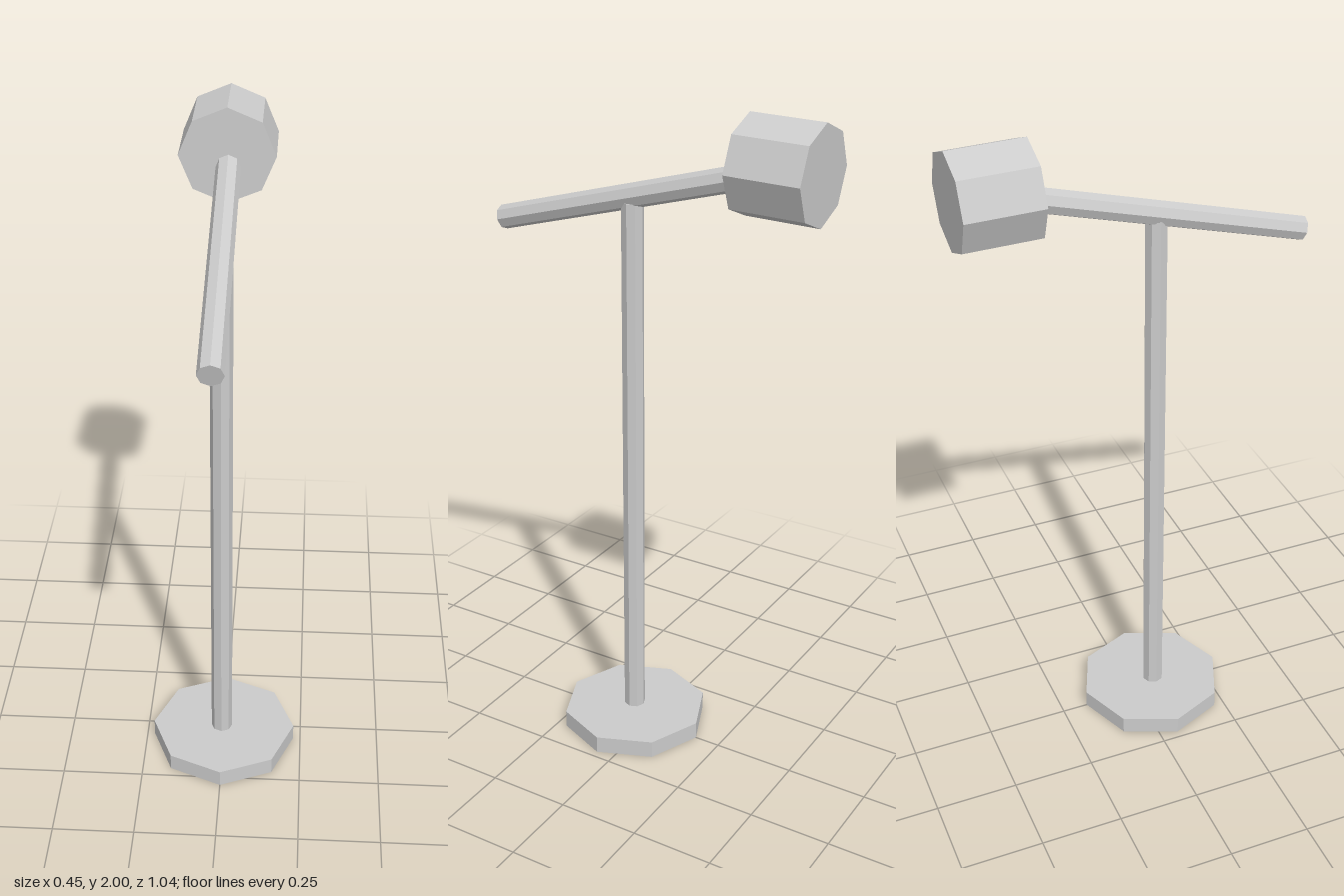
import * as THREE from 'three';

export function createModel() {
  const model = new THREE.Group();
  const material = new THREE.MeshStandardMaterial({ color: 0xcccccc, flatShading: true });

  // Eight-sided rod running from one point to another
  function rod(name, radius, from, to) {
    const a = new THREE.Vector3(...from);
    const b = new THREE.Vector3(...to);
    const axis = b.clone().sub(a);
    const mesh = new THREE.Mesh(new THREE.CylinderGeometry(radius, radius, axis.length(), 8), material);
    mesh.name = name;
    mesh.position.copy(a).add(b).multiplyScalar(0.5);
    mesh.rotation.x = Math.atan2(axis.z, axis.y);
    model.add(mesh);
  }

  // Floor plate and upright
  rod('base', 0.227, [0, 0, 0.057], [0, 0.054, 0.057]);
  rod('pole', 0.033, [-0.006, 0.04, 0.062], [-0.006, 1.71, 0.062]);

  // Sloping boom with the head on its raised rear end
  rod('boomArm', 0.036, [-0.007, 1.835, -0.32], [-0.007, 1.601, 0.51]);
  rod('head', 0.14, [-0.01, 1.857, -0.517], [-0.01, 1.861, -0.295]);

  return model;
}
